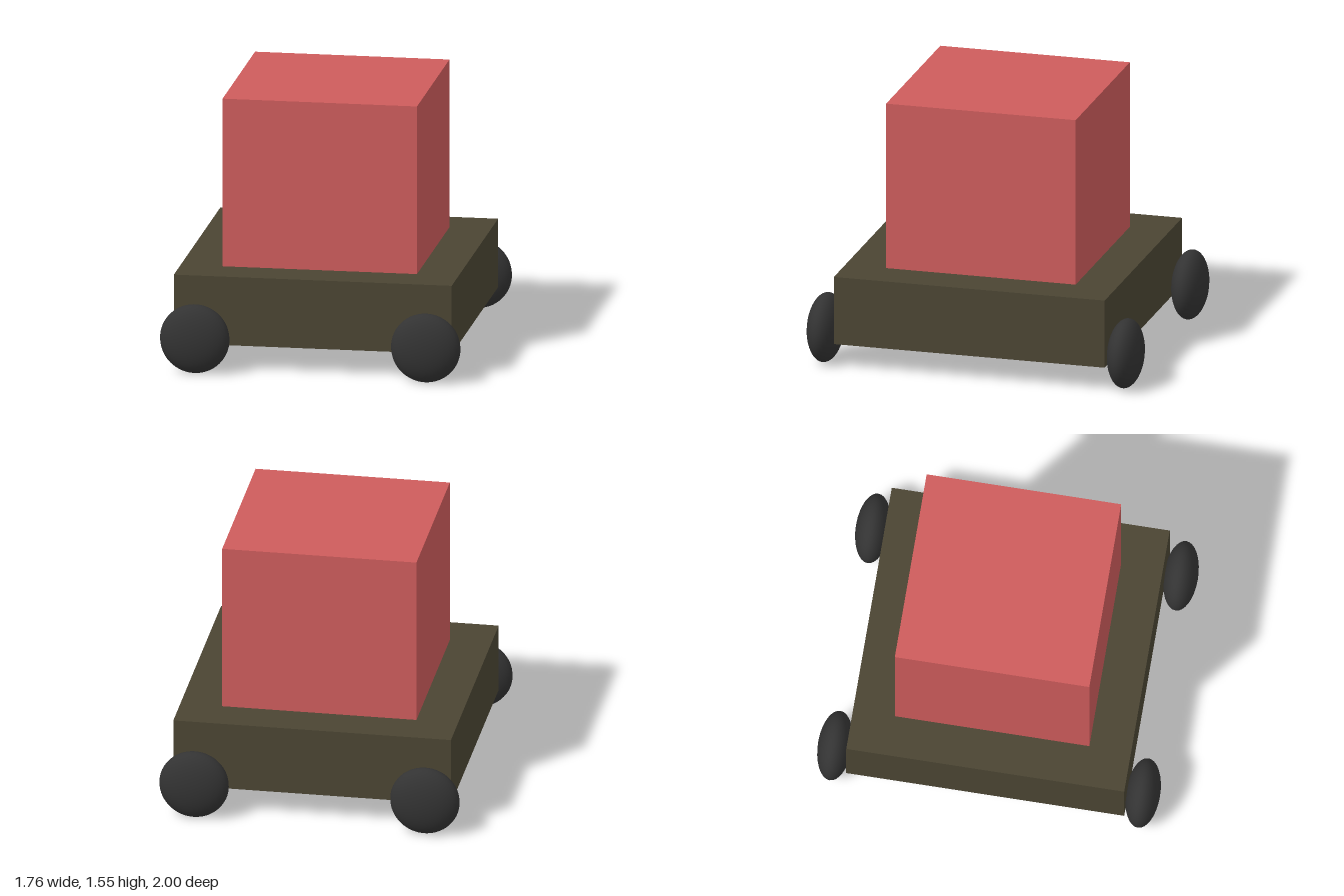
import * as THREE from 'three';

export function createModel() {
  const model = new THREE.Group();
  const add = (name, geometry, color, x, y, z) => {
    const mesh = new THREE.Mesh(geometry, new THREE.MeshStandardMaterial({ color }));
    mesh.name = name;
    mesh.position.set(x, y, z);
    model.add(mesh);
    return mesh;
  };

  // Flat square chassis
  add('chassis', new THREE.BoxGeometry(1.626, 0.407, 1.626), 0x4b4533, 0, 0.353, 0);

  // Cargo block standing on the chassis
  add('cargoBlock', new THREE.BoxGeometry(1.138, 0.997, 1.138), 0xcd5c5c, 0, 1.055, 0);

  // Four wheels: spheres flattened along z, on the front and back sides
  const wheel = new THREE.SphereGeometry(0.203, 32, 32).scale(1, 1, 0.488);
  for (const [endName, sz] of [['front', 1], ['back', -1]]) {
    for (const [sideName, sx] of [['Left', 1], ['Right', -1]]) {
      add(`${endName}${sideName}Wheel`, wheel, 0x333333, sx * 0.676, 0.203, sz * 0.901);
    }
  }
  return model;
}
